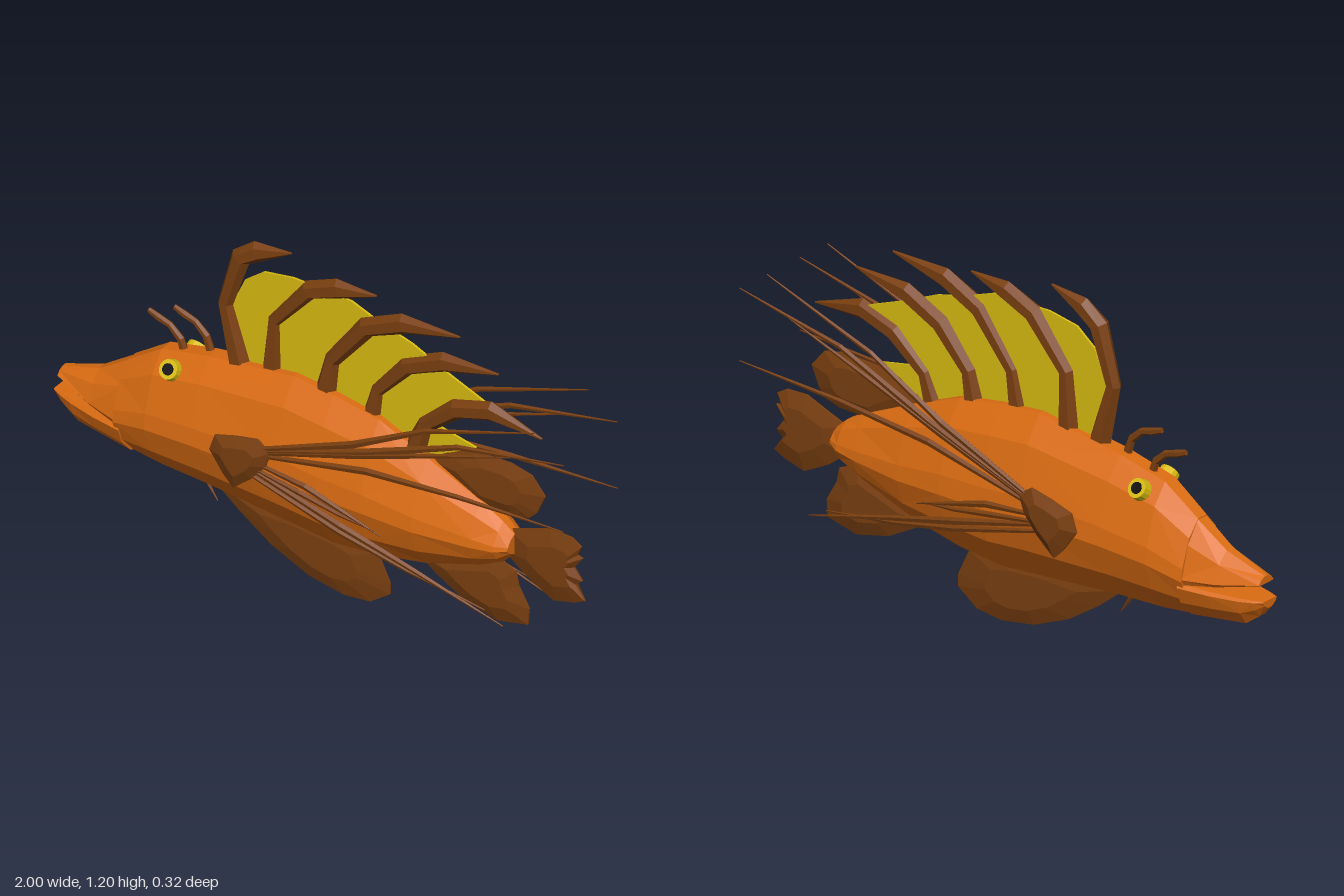
import * as THREE from 'three';

const mat = (color) => new THREE.MeshStandardMaterial({ color, flatShading: true, side: THREE.DoubleSide });
const V = (x, y, z) => new THREE.Vector3(x, y, z);

// Skin a list of equal-length closed rings, capping both ends at their centres.
function loft(rings) {
  const n = rings[0].length, pos = [];
  const tri = (a, b, c) => pos.push([a, b, c]);
  for (let i = 0; i < rings.length - 1; i++) {
    for (let j = 0; j < n; j++) {
      const k = (j + 1) % n, a = rings[i], b = rings[i + 1];
      if ((i + j) % 2) { tri(a[j], b[j], b[k]); tri(a[j], b[k], a[k]); }
      else { tri(a[j], b[j], a[k]); tri(b[j], b[k], a[k]); }
    }
  }
  const centre = (r) => r.reduce((s, p) => s.add(p), V(0, 0, 0)).divideScalar(n);
  const first = rings[0], last = rings[rings.length - 1];
  const c0 = centre(first), c1 = centre(last);
  for (let j = 0; j < n; j++) {
    const k = (j + 1) % n;
    tri(c0, first[j], first[k]);
    tri(c1, last[k], last[j]);
  }
  // turn the faces outward if the enclosed volume is negative
  const volume = pos.reduce((s, [a, b, c]) => s + a.dot(b.clone().cross(c)), 0);
  const pts = pos.flatMap(([a, b, c]) => (volume < 0 ? [a, c, b] : [a, b, c]));
  const g = new THREE.BufferGeometry().setFromPoints(pts);
  g.computeVertexNormals();
  return g;
}

// Symmetric cross-sections along x: half = [width share, height share], stations = [x, top, bottom, halfWidth]
function hull(half, stations) {
  return loft(stations.map(([x, top, bot, w]) => {
    const right = half.map(([a, t]) => V(x, bot + (top - bot) * t, a * w));
    const left = half.map(([a, t]) => V(x, bot + (top - bot) * t, -a * w)).reverse();
    return [...right, ...left];
  }));
}

// Tapered bar along a path of [x, y, z, halfWidth, halfThickness]
function bar(path, sides = 6) {
  return loft(path.map(([x, y, z, w, t], i) => {
    const a = path[Math.max(i - 1, 0)], b = path[Math.min(i + 1, path.length - 1)];
    const d = Math.hypot(b[0] - a[0], b[1] - a[1]);
    const nx = -(b[1] - a[1]) / d, ny = (b[0] - a[0]) / d;
    return Array.from({ length: sides }, (_, s) => {
      const q = (s / sides) * Math.PI * 2, c = Math.cos(q) * w;
      return V(x + nx * c, y + ny * c, z + Math.sin(q) * t);
    });
  }));
}

// Fin outline that is thin at its edge and thicker inside
function fin(outline, thick, z = 0) {
  const cx = outline.reduce((s, p) => s + p[0], 0) / outline.length;
  const cy = outline.reduce((s, p) => s + p[1], 0) / outline.length;
  const ring = (s, dz) => outline.map(([x, y]) => V(cx + (x - cx) * s, cy + (y - cy) * s, z + dz));
  return loft([ring(0.55, -thick), ring(1, -0.003), ring(1, 0.003), ring(0.55, thick)]);
}

export function createModel() {
  const model = new THREE.Group();
  model.name = 'fish';
  const orange = mat(0xdb6c12), brown = mat(0x7a3f10), yellow = mat(0xd9bb10), black = mat(0x0c0c0c);
  const add = (name, geo, material) => {
    const m = new THREE.Mesh(geo, material);
    m.name = name;
    model.add(m);
    return m;
  };

  // Body and jaws
  add('body', hull(
    [[0.2, 1], [0.62, 0.84], [0.95, 0.55], [1, 0.42], [0.75, 0.2], [0.2, 0]],
    [[-0.73, 0.59, 0.265, 0.105], [-0.6, 0.68, 0.252, 0.122], [-0.42, 0.722, 0.245, 0.13],
      [-0.1, 0.77, 0.22, 0.136], [0.05, 0.757, 0.208, 0.136], [0.22, 0.73, 0.225, 0.13],
      [0.4, 0.655, 0.262, 0.115], [0.6, 0.565, 0.33, 0.085], [0.68, 0.52, 0.37, 0.07], [0.72, 0.485, 0.41, 0.05]],
  ), orange);
  add('upperJaw', hull([[0.2, 1], [0.7, 0.65], [1, 0.1], [0.9, 0]],
    [[-0.71, 0.6, 0.385, 0.106], [-0.84, 0.512, 0.405, 0.078], [-0.985, 0.462, 0.437, 0.036]]), orange);
  add('lowerJaw', hull([[0.9, 1], [1, 0.9], [0.8, 0.45], [0.3, 0]],
    [[-0.71, 0.39, 0.264, 0.104], [-0.82, 0.386, 0.277, 0.085], [-0.92, 0.386, 0.288, 0.062],
      [-0.97, 0.386, 0.325, 0.047], [-1, 0.386, 0.36, 0.034]]), orange);

  // Eyes, tilted outward and upward
  for (const s of [1, -1]) {
    const eye = new THREE.Group();
    eye.name = s > 0 ? 'leftEye' : 'rightEye';
    for (const [name, r, h, m] of [['iris', 0.036, 0.03, yellow], ['pupil', 0.021, 0.038, black]]) {
      const disc = new THREE.Mesh(new THREE.CylinderGeometry(r * 0.9, r, h, 14), m);
      disc.name = name;
      eye.add(disc);
    }
    eye.position.set(-0.535, 0.652, s * 0.071);
    eye.rotation.x = s * 0.98;
    model.add(eye);
  }

  // Two feelers on the head and a barb under the throat
  for (const [dx, dy] of [[0, 0], [0.097, 0.048]]) {
    add('feeler', bar([[-0.53, 0.68, 0, 0.016, 0.014], [-0.545, 0.725, 0, 0.014, 0.012],
      [-0.585, 0.762, 0, 0.012, 0.01], [-0.63, 0.775, 0, 0.013, 0.011], [-0.665, 0.788, 0, 0.01, 0.008]]
      .map(([x, y, ...r]) => [x + dx, y + dy, ...r])), brown);
  }
  add('throatBarb', bar([[-0.46, 0.255, 0, 0.01, 0.008], [-0.405, 0.175, 0, 0.002, 0.002]], 4), brown);

  // Dorsal spines sweeping backward, widest near the bend
  const spines = [
    [[-0.32, 0.73], [-0.372, 0.93], [-0.315, 1.12], [-0.25, 1.165], [-0.125, 1.205]],
    [[-0.2, 0.72], [-0.19, 0.93], [-0.06, 1.09], [0.05, 1.135], [0.19, 1.162]],
    [[0, 0.71], [0.03, 0.87], [0.16, 1.04], [0.3, 1.105], [0.51, 1.135]],
    [[0.17, 0.68], [0.2, 0.82], [0.31, 0.95], [0.45, 1.015], [0.65, 1.045]],
    [[0.34, 0.65], [0.38, 0.76], [0.5, 0.865], [0.63, 0.905], [0.82, 0.873]],
  ];
  const spineWidth = [0.04, 0.027, 0.034, 0.036, 0.003];
  const spineDepth = [0.032, 0.024, 0.03, 0.024, 0.004];
  spines.forEach((p, k) => add('dorsalSpine',
    bar(p.map(([x, y], i) => [x, y, (k % 2 ? -1 : 1) * 0.004, spineWidth[i], spineDepth[i]])), brown));

  // Yellow membrane between the spines
  const web = new THREE.Shape([[-0.33, 0.72], [-0.35, 0.93], [-0.3, 1.04], [-0.23, 1.095], [-0.12, 1.115], [0.1, 1.112],
    [0.2, 1.075], [0.33, 1.04], [0.48, 0.975], [0.61, 0.925], [0.6, 0.88], [0.5, 0.85], [0.42, 0.775], [0.57, 0.745],
    [0.38, 0.64], [0.1, 0.7]].map(([x, y]) => new THREE.Vector2(x, y)));
  const webGeo = new THREE.ExtrudeGeometry(web, { depth: 0.008, bevelEnabled: false });
  add('dorsalMembrane', webGeo.translate(0, 0, -0.004), yellow);

  // Unpaired fins
  add('rearDorsalFin', fin([[0.38, 0.64], [0.46, 0.69], [0.56, 0.73], [0.7, 0.737], [0.78, 0.72], [0.83, 0.66],
    [0.8, 0.59], [0.77, 0.56], [0.72, 0.545], [0.55, 0.54]], 0.02), brown);
  add('tailFin', fin([[0.68, 0.4], [0.69, 0.49], [0.76, 0.515], [0.85, 0.55], [0.93, 0.547], [0.967, 0.525],
    [0.952, 0.49], [0.972, 0.485], [0.94, 0.44], [0.97, 0.4], [0.945, 0.378], [0.98, 0.33], [0.94, 0.31],
    [0.86, 0.288], [0.76, 0.34]], 0.02), brown);
  add('analFin', fin([[0.35, 0.27], [0.42, 0.22], [0.52, 0.165], [0.65, 0.133], [0.765, 0.16], [0.77, 0.22],
    [0.73, 0.29], [0.72, 0.34], [0.65, 0.37], [0.5, 0.32]], 0.02), brown);
  add('pelvicFin', fin([[-0.42, 0.25], [-0.32, 0.17], [-0.2, 0.09], [-0.06, 0.03], [0.07, 0.008], [0.17, 0.02],
    [0.245, 0.075], [0.245, 0.115], [0.2, 0.21], [0.08, 0.24], [-0.2, 0.26]], 0.018), brown);

  // Pectoral fins: a fleshy root and long trailing rays, mirrored on both sides
  const root = [[-0.34, 0.47], [-0.32, 0.53], [-0.24, 0.555], [-0.16, 0.573], [-0.11, 0.54], [-0.13, 0.48],
    [-0.18, 0.42], [-0.25, 0.36], [-0.29, 0.4]];
  const rays = [ // start, two bends, tip as [x, y], then the ray width
    [[-0.15, 0.54], [0.2, 0.69], [0.48, 0.85], [0.89, 1], 0.013],
    [[-0.15, 0.53], [0.25, 0.68], [0.6, 0.835], [1, 0.922], 0.014],
    [[-0.15, 0.525], [0.2, 0.65], [0.5, 0.765], [0.8, 0.875], 0.012],
    [[-0.15, 0.515], [0.25, 0.61], [0.6, 0.65], [1, 0.675], 0.013],
    [[-0.15, 0.48], [0.02, 0.465], [0.15, 0.43], [0.3, 0.388], 0.012],
    [[-0.17, 0.46], [0, 0.435], [0.15, 0.41], [0.28, 0.398], 0.01],
    [[-0.17, 0.45], [0.15, 0.37], [0.42, 0.3], [0.75, 0.21], 0.013],
    [[-0.18, 0.43], [0.15, 0.345], [0.4, 0.29], [0.68, 0.245], 0.011],
  ];
  for (const s of [1, -1]) {
    const side = s > 0 ? 'left' : 'right';
    add(`${side}PectoralRoot`, fin(root, 0.022, s * 0.138), brown);
    for (const [a, b, c, d, w] of rays) {
      const tipZ = d[1] > 0.5 ? 0.148 : d[0] > 0.5 ? 0.115 : 0.138;
      add(`${side}PectoralRay`, bar([
        [...a, s * 0.136, w * 0.6, 0.008], [...b, s * 0.138, w, 0.01],
        [...c, s * (0.138 + tipZ) / 2, w * 0.7, 0.008], [...d, s * tipZ, 0.002, 0.002],
      ], 5), brown);
    }
  }
  return model;
}
